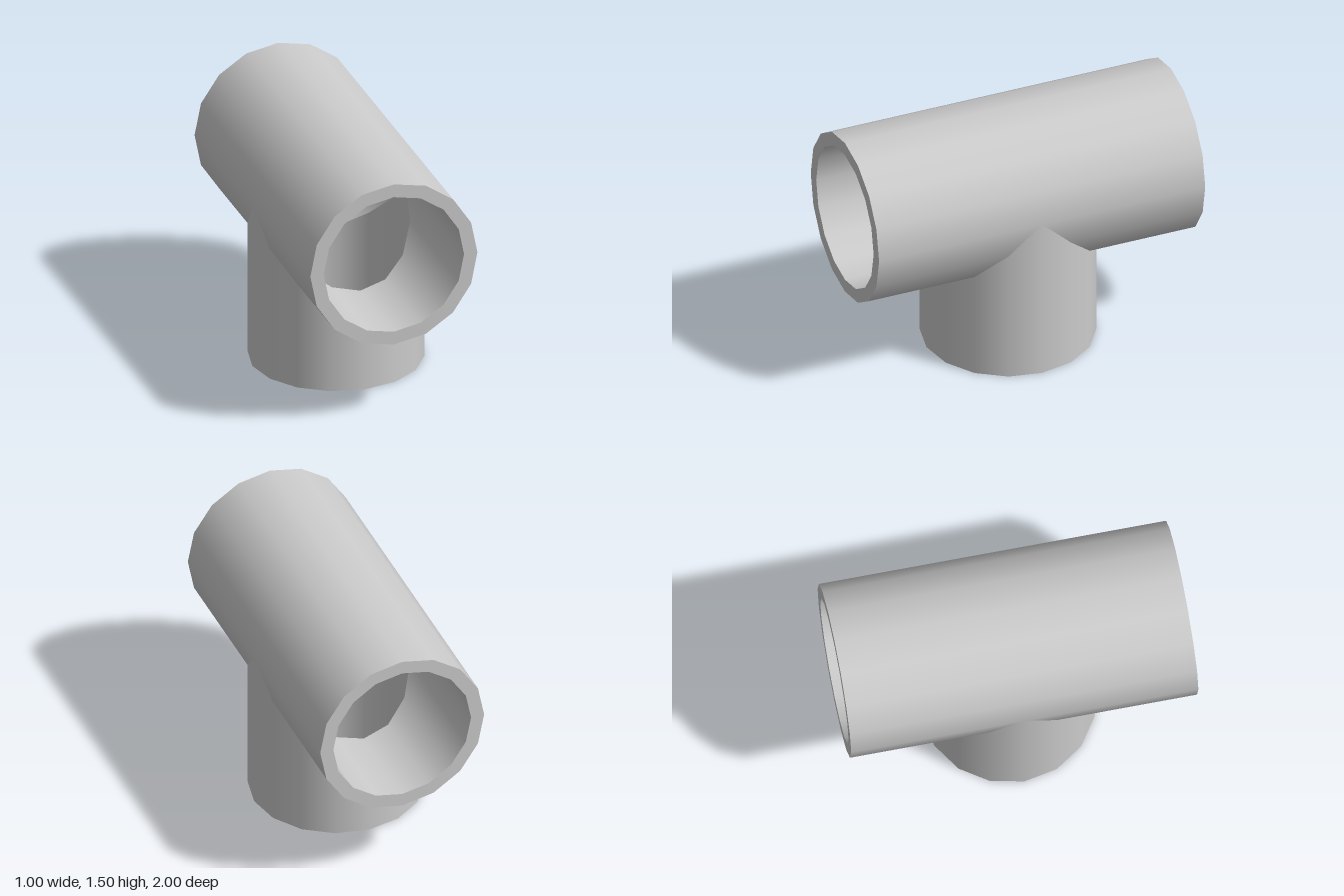
import * as THREE from 'three';

const SIDES = 16, OUTER = 0.5, INNER = 0.42, AXIS_Y = 1;
const material = new THREE.MeshStandardMaterial({ color: 0xcccccc });

// Tube wall ruled between two rings; facing is 1 for outside, -1 for the bore.
// rule(c, s) gets the unit circle point and returns { from, to, normal }.
function wall(name, facing, rule) {
  const positions = [], normals = [], index = [];
  for (let i = 0; i <= SIDES; i++) {
    const t = (i / SIDES) * Math.PI * 2;
    const { from, to, normal } = rule(Math.cos(t), Math.sin(t));
    positions.push(...from, ...to);
    const n = normal.map(v => v * facing);
    normals.push(...n, ...n);
  }
  const P = i => new THREE.Vector3().fromArray(positions, i * 3);
  const N = i => new THREE.Vector3().fromArray(normals, i * 3);
  const tri = (a, b, c) => {
    const face = P(b).sub(P(a)).cross(P(c).sub(P(a)));
    // turn each triangle to agree with its wall normal
    index.push(...(face.dot(N(a).add(N(b)).add(N(c))) > 0 ? [a, b, c] : [a, c, b]));
  };
  for (let i = 0; i < SIDES; i++) {
    const a = i * 2;
    tri(a, a + 1, a + 2);
    tri(a + 1, a + 3, a + 2);
  }
  const geometry = new THREE.BufferGeometry();
  geometry.setAttribute('position', new THREE.Float32BufferAttribute(positions, 3));
  geometry.setAttribute('normal', new THREE.Float32BufferAttribute(normals, 3));
  geometry.setIndex(index);
  const mesh = new THREE.Mesh(geometry, material);
  mesh.name = name;
  return mesh;
}

// Flat annular face at an open pipe end
function rim(name, x, y, z, rotX, rotY) {
  const mesh = new THREE.Mesh(new THREE.RingGeometry(INNER, OUTER, SIDES, 1), material);
  mesh.name = name;
  mesh.position.set(x, y, z);
  mesh.rotation.set(rotX, rotY, 0);
  return mesh;
}

export function createModel() {
  const model = new THREE.Group();
  model.name = 'pipeTee';

  for (const [r, facing, label] of [[OUTER, 1, 'Outside'], [INNER, -1, 'Bore']]) {
    // Horizontal run: each half stops at the mitre line below the axis
    for (const [dir, end] of [[1, 'front'], [-1, 'back']]) {
      model.add(wall(`${end}Run${label}`, facing, (c, s) => ({
        from: [r * c, AXIS_Y + r * s, dir],
        to: [r * c, AXIS_Y + r * s, dir * Math.max(0, -r * s)],
        normal: [c, s, 0],
      })));
    }
    // Vertical branch rising to the same mitre line
    model.add(wall(`branch${label}`, facing, (c, s) => ({
      from: [r * c, 0, r * s],
      to: [r * c, AXIS_Y - Math.abs(r * s), r * s],
      normal: [c, 0, s],
    })));
  }

  model.add(
    rim('frontRim', 0, AXIS_Y, 1, 0, 0),
    rim('backRim', 0, AXIS_Y, -1, 0, Math.PI),
    rim('bottomRim', 0, 0, 0, Math.PI / 2, 0),
  );
  return model;
}
